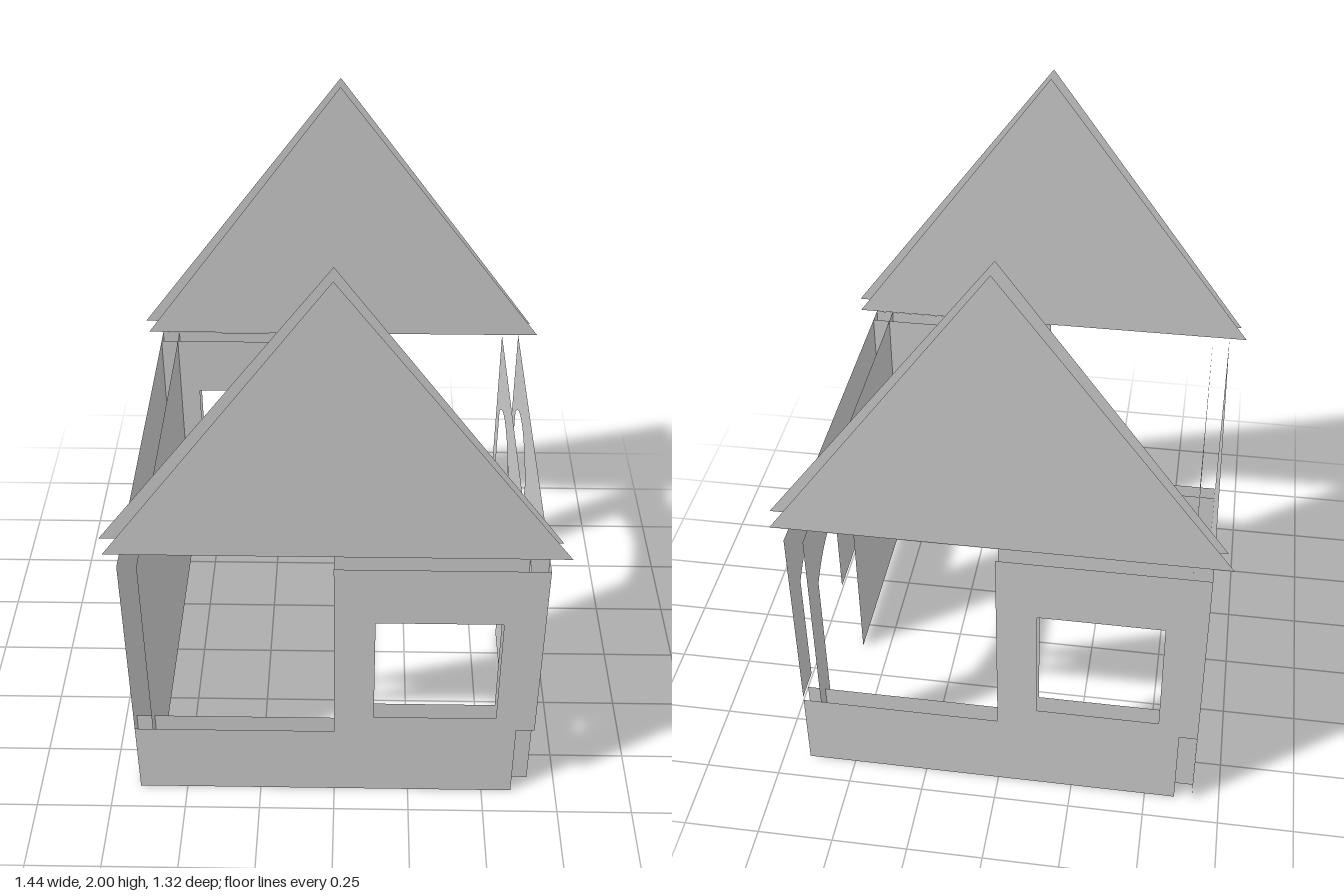
import * as THREE from 'three';

const W = 0.66;    // half width of the house
const IN = 0.6;    // position of the inner wall layers
const TOP = 0.99;  // wall height
const SEAM = 0.295;
const LOW = 0.28;  // height of the low walls

const material = new THREE.MeshStandardMaterial({ color: 0xcccccc, side: THREE.DoubleSide });

const outline = (points) => new THREE.Shape(points.map(([x, y]) => new THREE.Vector2(x, y)));

// Square window opening between x0 and x1
function cutWindow(shape, x0, x1) {
  const hole = new THREE.Path();
  hole.moveTo(x0, 0.35).lineTo(x0, 0.77).lineTo(x1, 0.77).lineTo(x1, 0.35).closePath();
  shape.holes.push(hole);
  return shape;
}

// Flat vertical sheet
function sheet(name, shape, z) {
  const mesh = new THREE.Mesh(new THREE.ShapeGeometry(shape, 16), material);
  mesh.name = name;
  mesh.position.z = z;
  return mesh;
}

// End of the house: gable, half wall with window, low half wall
function createEnd(name) {
  const end = new THREE.Group();
  end.name = name;
  const outer = outline([[0, 0], [IN, 0], [IN, SEAM], [W, SEAM], [W, TOP], [0, TOP]]);
  const inner = outline([[0, 0], [W, 0], [W, TOP], [0, TOP]]);
  const low = outline([[-W, 0], [0, 0], [0, LOW], [-W, LOW]]);
  end.add(
    sheet('windowWallOuter', cutWindow(outer, 0.13, 0.53), W),
    sheet('windowWallInner', cutWindow(inner, 0.13, 0.53), IN),
    sheet('lowWallOuter', low, W),
    sheet('lowWallInner', low, IN),
    sheet('gableOuter', outline([[-0.7, 1.04], [0.72, 1.04], [0, 2]]), W),
    sheet('gableInner', outline([[-0.72, 1.04], [0.7, 1.04], [0, 2]]), 0.585)
  );
  return end;
}

// Side wall with a window and an arched doorway; base is the height of its lower edge
function doorWallShape(base) {
  const a = 0.11, b = 0.55, spring = 0.72, rise = 0.1;
  const half = (b - a) / 2;
  const r = (half * half + rise * rise) / (2 * rise);
  const angle = Math.asin(half / r);
  const s = new THREE.Shape();
  s.moveTo(-W, base).lineTo(a, base).lineTo(a, spring);
  s.absarc((a + b) / 2, spring + rise - r, r, Math.PI / 2 + angle, Math.PI / 2 - angle, true);
  s.lineTo(b, base).lineTo(W, base).lineTo(W, TOP).lineTo(-W, TOP).closePath();
  return cutWindow(s, -0.53, -0.13);
}

export function createModel() {
  const model = new THREE.Group();
  model.name = 'playhouse';

  // Front and back ends, the back turned half round
  const front = createEnd('frontEnd');
  const back = createEnd('backEnd');
  back.rotation.y = Math.PI;

  // Left side with doorway
  const doorSide = new THREE.Group();
  doorSide.name = 'doorSide';
  doorSide.rotation.y = Math.PI / 2;
  doorSide.add(
    sheet('doorWallOuter', doorWallShape(SEAM), W),
    sheet('doorWallInner', doorWallShape(0), IN)
  );

  // Right side, solid
  const solidSide = new THREE.Group();
  solidSide.name = 'solidSide';
  solidSide.rotation.y = -Math.PI / 2;
  const solid = outline([[-W, 0], [W, 0], [W, TOP], [-W, TOP]]);
  solidSide.add(sheet('solidWallOuter', solid, W), sheet('solidWallInner', solid, IN));

  model.add(front, back, doorSide, solidSide);
  return model;
}
